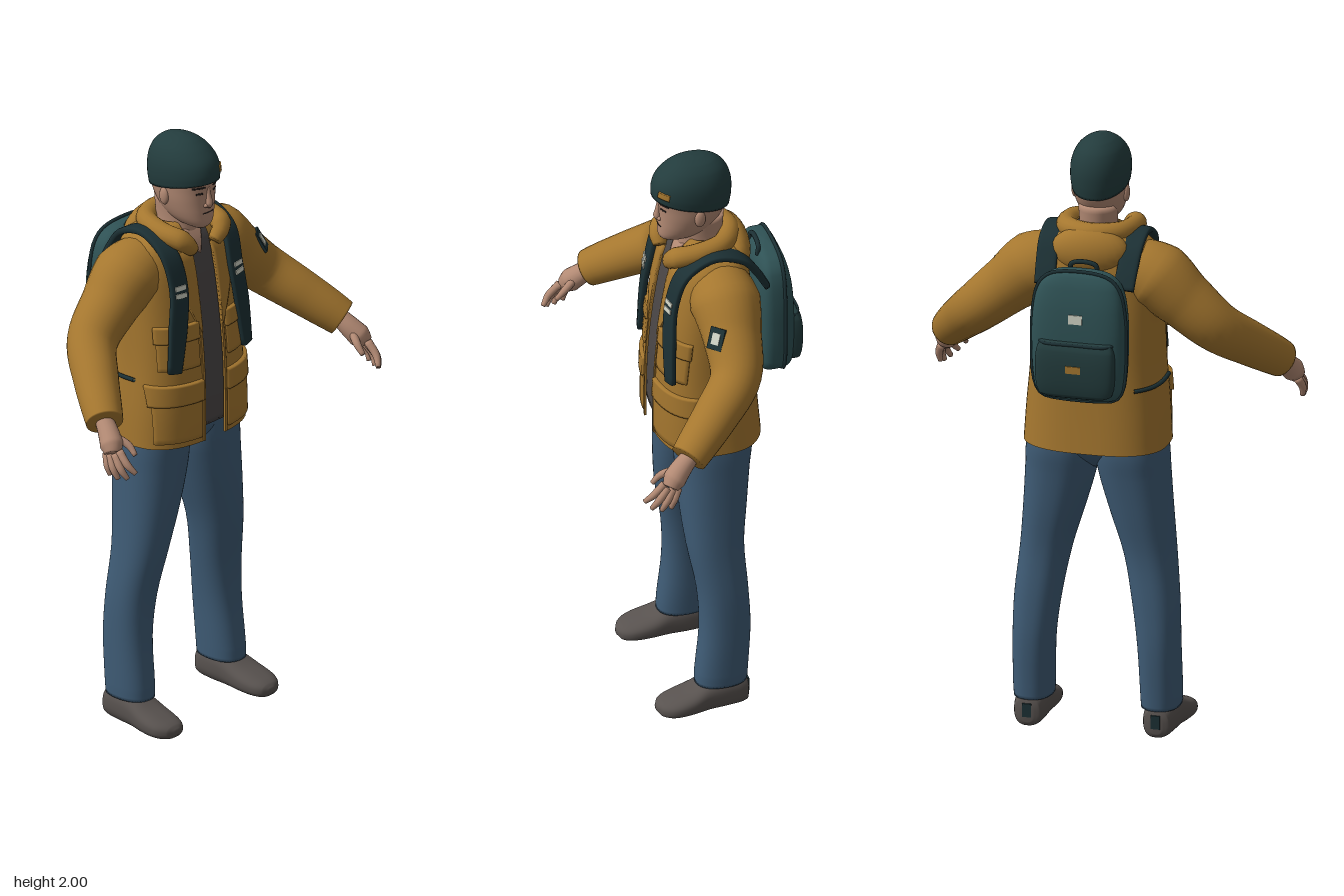
import * as THREE from 'three';
import { mergeVertices } from 'three/addons/utils/BufferGeometryUtils.js';

const V = (x, y, z) => new THREE.Vector3(x, y, z);
const paint = (name, color) => {
  const m = new THREE.MeshStandardMaterial({ color, side: THREE.DoubleSide });
  m.name = name;
  return m;
};

// Smooth surface from a rule fn(u, v); u x v points outward
function grid(us, vs, fn) {
  const pos = [], idx = [], n = us.length;
  for (const v of vs) for (const u of us) pos.push(...fn(u, v).toArray());
  for (let j = 0; j < vs.length - 1; j++) for (let i = 0; i < n - 1; i++) {
    const a = j * n + i;
    idx.push(a, a + 1, a + n, a + 1, a + n + 1, a + n);
  }
  let g = new THREE.BufferGeometry();
  g.setAttribute('position', new THREE.Float32BufferAttribute(pos, 3));
  g.setIndex(idx);
  g = mergeVertices(g, 1e-5);
  g.computeVertexNormals();
  return g;
}
const steps = (n, a = 0, b = 1) => Array.from({ length: n + 1 }, (_, i) => a + (b - a) * i / n);

// Body surface from rings [y, centreX, halfWidth, zFront, zBack], superellipse power n
function body(rings, n = 2.4, bend = null) {
  const ring = y => {
    let k = 0;
    while (k < rings.length - 2 && y > rings[k + 1][0]) k++;
    const a = rings[k], b = rings[k + 1], p = rings[k - 1] || a, q = rings[k + 2] || b;
    const h = b[0] - a[0], t = Math.min(1, Math.max(0, (y - a[0]) / h));
    return [1, 2, 3, 4].map(j => {
      const m0 = h * (b[j] - p[j]) / (b[0] - p[0]), m1 = h * (q[j] - a[j]) / (q[0] - a[0]);
      return (2 * t ** 3 - 3 * t * t + 1) * a[j] + (t ** 3 - 2 * t * t + t) * m0
        + (3 * t * t - 2 * t ** 3) * b[j] + (t ** 3 - t * t) * m1;
    });
  };
  const pow = s => Math.sign(s) * Math.abs(s) ** (2 / n);
  const at = (a, y, size = 1) => {
    const [cx, w, f, b] = ring(y);
    const p = V(cx + size * Math.max(w, 0.0004) * pow(Math.sin(a)), y, (f + b) / 2 + size * (f - b) / 2 * pow(Math.cos(a)));
    if (bend) bend(p, y);
    return p;
  };
  const angle = (x, y) => Math.sign(x) * Math.asin(Math.min(1, Math.abs(x) / ring(y)[1]) ** (n / 2));
  const rows = [];
  for (let i = 0; i < rings.length - 1; i++) rows.push(...steps(4, rings[i][0], rings[i + 1][0]).slice(i ? 1 : 0));
  const solid = () => grid(steps(48, 0, 2 * Math.PI), steps(rows.length + 1, -1, rows.length).map(Math.round),
    (a, r) => r < 0 ? at(a, rows[0], 0) : r >= rows.length ? at(a, rows[rows.length - 1], 0) : at(a, rows[r]));
  return { at, angle, rows, solid };
}

// Thin panel hugging a body surface; x limits may depend on height
function panel(s, x0, x1, y0, y1, off) {
  const f = x => typeof x === 'function' ? x : () => x;
  const seq = [-1, ...steps(10), 2];
  return grid(seq, seq, (u, v) => {
    const edge = u < 0 || u > 1 || v < 0 || v > 1;
    const uu = Math.min(1, Math.max(0, u)), vv = Math.min(1, Math.max(0, v));
    const y = y0 + (y1 - y0) * vv, a0 = s.angle(f(x0)(vv), y), a1 = s.angle(f(x1)(vv), y);
    const a = a0 + (a1 - a0) * uu, p = s.at(a, y);
    const t = s.at(a + 0.02, y).sub(s.at(a - 0.02, y));
    return p.addScaledVector(V(-t.z, 0, t.x).normalize(), edge ? -0.003 : off);
  });
}

// Rounded limb through points [x, y, z, radius]
function limb(pts, seg = 18, rows = 20) {
  const curve = new THREE.CatmullRomCurve3(pts.map(p => V(p[0], p[1], p[2])));
  const fr = curve.computeFrenetFrames(rows);
  return grid(steps(seg, 0, 2 * Math.PI), steps(rows + 2, -1, rows + 1).map(Math.round), (a, r) => {
    const i = Math.min(rows, Math.max(0, r)), t = i / rows, k = t * (pts.length - 1);
    const j = Math.min(pts.length - 2, Math.floor(k));
    const rad = r === i ? THREE.MathUtils.lerp(pts[j][3], pts[j + 1][3], k - j) : 0;
    return curve.getPoint(t).addScaledVector(fr.normals[i], rad * Math.cos(a)).addScaledVector(fr.binormals[i], rad * Math.sin(a));
  });
}
const tube = (pts, r, closed = false) => new THREE.TubeGeometry(new THREE.CatmullRomCurve3(pts, closed), 60, r, 8, closed);
const ball = (x, y, z, a, b, c) => new THREE.SphereGeometry(1, 24, 16).scale(a, b, c).translate(x, y, z);

// Flat plate facing along a normal
function plate(w, h, pos, normal, up, d = 0.008) {
  const z = normal.clone().normalize(), x = up.clone().cross(z).normalize();
  const m = new THREE.Matrix4().makeBasis(x, z.clone().cross(x), z).setPosition(pos);
  return new THREE.BoxGeometry(w, h, d).applyMatrix4(m);
}
function mirrored(g) {
  const m = g.clone().scale(-1, 1, 1), i = m.index.array;
  for (let k = 0; k < i.length; k += 3) [i[k], i[k + 1]] = [i[k + 1], i[k]];
  return m;
}

export function createModel() {
  const model = new THREE.Group();
  model.name = 'hiker';
  const ochre = paint('ochre', 0xa5772f), denim = paint('denim', 0x3f5c76), skin = paint('skin', 0xb38a74);
  const shoeGrey = paint('shoeGrey', 0x58524f), shirtGrey = paint('shirtGrey', 0x4b4747), knit = paint('darkGreenKnit', 0x233c3d);
  const teal = paint('teal', 0x2f5255), webbing = paint('darkWebbing', 0x1c3034), cream = paint('cream', 0xcdd0c2), dark = paint('darkBrown', 0x2b2321);
  const add = (name, g, mat) => {
    const m = new THREE.Mesh(g, mat);
    m.name = name;
    model.add(m);
  };
  const pair = (name, g, mat) => {
    add('left' + name, g, mat);
    add('right' + name, mirrored(g), mat);
  };

  // Jacket shell with an open front
  const torsoRings = [
    [0.98, 0, 0.235, 0.145, -0.2], [1.1, 0, 0.228, 0.145, -0.19], [1.25, 0, 0.216, 0.14, -0.18],
    [1.4, 0, 0.213, 0.125, -0.175], [1.5, 0, 0.213, 0.11, -0.17], [1.58, 0, 0.208, 0.095, -0.165],
    [1.64, 0, 0.19, 0.077, -0.155], [1.675, 0, 0.155, 0.058, -0.14], [1.7, 0, 0.1, 0.04, -0.12], [1.71, 0, 0.07, 0.03, -0.1]];
  const torso = body(torsoRings, 2.7);
  add('jacket', grid(steps(56), torso.rows, (u, y) => {
    const a = torso.angle(0.046, y);
    return torso.at(a + u * (2 * Math.PI - 2 * a), y);
  }), ochre);
  pair('FrontEdge', panel(torso, 0.044, 0.054, 0.982, 1.6, 0.004), ochre);
  pair('Lapel', panel(torso, 0.045, v => 0.05 + 0.075 * Math.min(1, 1.6 * v), 1.36, 1.63, 0.008), ochre);
  pair('LowerPocket', panel(torso, 0.06, 0.21, 1.0, 1.18, 0.007), ochre);
  pair('LowerPocketFlap', panel(torso, 0.057, 0.214, 1.13, 1.2, 0.013), ochre);
  pair('ChestPocket', panel(torso, 0.065, 0.193, 1.25, 1.38, 0.007), ochre);
  pair('ChestPocketFlap', panel(torso, 0.062, 0.196, 1.345, 1.4, 0.012), ochre);

  // Collar roll and hood lying on the back
  add('collar', limb([[0.05, 1.635, 0.095, 0.022], [0.088, 1.675, 0.09, 0.034], [0.108, 1.69, 0.02, 0.034],
    [0.085, 1.7, -0.075, 0.034], [0, 1.7, -0.115, 0.036], [-0.085, 1.7, -0.075, 0.034],
    [-0.108, 1.69, 0.02, 0.034], [-0.088, 1.675, 0.09, 0.034], [-0.05, 1.635, 0.095, 0.022]], 16, 56), ochre);
  add('hood', ball(0, 1.645, -0.122, 0.13, 0.08, 0.058), ochre);

  // Shirt inside the opening
  const shirt = body(torsoRings.slice(0, -1).map(([y, x, w, f, b]) => [y + (y < 1 ? 0.045 : 0), x, w * 0.93, f - 0.012, b + 0.015]), 2.7);
  add('shirt', shirt.solid(), shirtGrey);
  add('openNeckline', panel(shirt, v => -0.002 - 0.034 * v, v => 0.002 + 0.034 * v, 1.605, 1.685, 0.005), skin);

  // Sleeves and hands
  pair('Sleeve', limb([[0.12, 1.57, -0.045, 0.1], [0.2, 1.55, -0.047, 0.114], [0.29, 1.478, -0.043, 0.095],
    [0.39, 1.39, -0.024, 0.082], [0.47, 1.31, 0.07, 0.073], [0.53, 1.245, 0.155, 0.064], [0.548, 1.224, 0.182, 0.06]], 28, 36), ochre);
  pair('Palm', limb([[0.54, 1.235, 0.165, 0.028], [0.556, 1.2, 0.205, 0.034], [0.572, 1.17, 0.235, 0.038], [0.583, 1.148, 0.25, 0.027]]), skin);
  [[[0.575, 1.16, 0.27], [0.575, 1.122, 0.308], [0.56, 1.095, 0.33]], [[0.584, 1.15, 0.26], [0.592, 1.108, 0.295], [0.58, 1.078, 0.313]],
    [[0.588, 1.145, 0.244], [0.6, 1.105, 0.27], [0.593, 1.073, 0.284]], [[0.588, 1.145, 0.228], [0.601, 1.11, 0.245], [0.598, 1.08, 0.254]],
    [[0.55, 1.19, 0.225], [0.528, 1.165, 0.268], [0.526, 1.137, 0.296]]].forEach((p, i) =>
    pair(i < 4 ? 'Finger' + (i + 1) : 'Thumb', limb(p.map((q, k) => [...q, [0.014, 0.0125, 0.008][k]]), 10, 8), skin));

  // Sleeve badge on the left arm only
  const badgeN = V(0.55, 0.48, 0.68).normalize(), badgeUp = V(-0.25, 0.9, -0.2), badgeAt = V(0.286, 1.47, -0.042);
  add('sleeveBadge', plate(0.054, 0.072, badgeAt.clone().addScaledVector(badgeN, 0.098), badgeN, badgeUp, 0.009), webbing);
  add('sleeveBadgeCentre', plate(0.028, 0.038, badgeAt.clone().addScaledVector(badgeN, 0.103), badgeN, badgeUp, 0.004), cream);

  // Jeans
  pair('Leg', body([[0.095, 0.21, 0.063, 0.058, -0.113], [0.14, 0.21, 0.065, 0.056, -0.116], [0.3, 0.206, 0.068, 0.04, -0.125],
    [0.44, 0.195, 0.075, 0.045, -0.12], [0.6, 0.172, 0.083, 0.072, -0.113], [0.75, 0.143, 0.1, 0.087, -0.13],
    [0.88, 0.121, 0.114, 0.093, -0.145], [0.96, 0.114, 0.117, 0.095, -0.155], [1.05, 0.11, 0.11, 0.09, -0.15]], 2.3).solid(), denim);
  add('hips', body([[0.89, 0, 0.02, 0.0, -0.06], [0.92, 0, 0.055, 0.045, -0.105], [0.95, 0, 0.11, 0.074, -0.135],
    [0.99, 0, 0.19, 0.09, -0.153], [1.06, 0, 0.2, 0.09, -0.15]]).solid(), denim);

  // Shoes, lofted heel to toe
  pair('Shoe', body([[-0.116, 0.213, 0.02, -0.02, -0.075], [-0.107, 0.213, 0.042, -0.006, -0.1], [-0.05, 0.214, 0.053, 0, -0.116],
    [0.02, 0.217, 0.057, 0, -0.108], [0.08, 0.221, 0.064, 0, -0.082], [0.14, 0.223, 0.06, 0, -0.063],
    [0.176, 0.22, 0.04, -0.005, -0.05], [0.19, 0.218, 0.012, -0.018, -0.036]], 2.5).solid().rotateX(Math.PI / 2), shoeGrey);
  pair('HeelTab', plate(0.03, 0.045, V(0.213, 0.06, -0.115), V(0, 0, -1), V(0, 1, 0)), webbing);

  // Head and face
  const head = body([[1.7, 0, 0.022, 0.1, 0.04], [1.715, 0, 0.046, 0.115, -0.015], [1.745, 0, 0.067, 0.117, -0.06],
    [1.79, 0, 0.081, 0.116, -0.092], [1.83, 0, 0.086, 0.117, -0.107], [1.88, 0, 0.086, 0.12, -0.11], [1.94, 0, 0.066, 0.09, -0.09]], 2.2);
  add('head', head.solid(), skin);
  add('neck', body([[1.62, 0, 0.07, 0.055, -0.09], [1.7, 0, 0.06, 0.05, -0.094], [1.78, 0, 0.064, 0.05, -0.1]], 2.1).solid(), skin);
  add('nose', limb([[0, 1.85, 0.112, 0.007], [0, 1.815, 0.117, 0.009], [0, 1.79, 0.12, 0.013], [0, 1.78, 0.116, 0.01]], 14, 10), skin);
  pair('Nostril', ball(0.012, 1.785, 0.115, 0.008, 0.007, 0.009), skin);
  pair('Ear', ball(0.085, 1.808, 0.002, 0.011, 0.03, 0.018), skin);
  pair('Eyebrow', panel(head, 0.018, 0.056, 1.848, 1.854, 0.002), dark);
  pair('Eye', panel(head, 0.024, 0.045, 1.827, 1.833, 0.0015), dark);
  add('mouth', panel(head, -0.022, 0.022, 1.757, 1.76, 0.0015), dark);

  // Knitted cap, lower at the back
  const cap = body([[1.838, 0, 0.091, 0.138, -0.117], [1.875, 0, 0.095, 0.138, -0.123], [1.92, 0, 0.091, 0.126, -0.122],
    [1.96, 0, 0.074, 0.097, -0.105], [1.985, 0, 0.048, 0.064, -0.074], [1.996, 0, 0.022, 0.036, -0.04], [2, 0, 0.001, 0.005, -0.005]],
  2.1, (p, y) => { p.y += 0.22 * p.z * (2 - y) / 0.162; });
  add('cap', cap.solid(), knit);
  add('capTag', panel(cap, 0.04, 0.07, 1.868, 1.893, 0.004), ochre);

  // Backpack
  const outline = [[1.19, 0.09], [1.2, 0.125], [1.24, 0.147], [1.4, 0.156], [1.5, 0.151], [1.57, 0.135], [1.605, 0.105], [1.62, 0.06]];
  const depth = [[-0.2, -0.27], [-0.185, -0.295], [-0.178, -0.308], [-0.178, -0.31], [-0.18, -0.304], [-0.188, -0.291], [-0.2, -0.277], [-0.215, -0.262]];
  add('backpack', body([...outline.map(([y, w], i) => [y, 0, w, ...depth[i]]), [1.623, 0, 0.01, -0.235, -0.245]], 3.4).solid(), teal);
  const pocket = body([[1.212, 0, 0.095, -0.28, -0.318], [1.227, 0, 0.12, -0.28, -0.331], [1.3, 0, 0.13, -0.28, -0.338],
    [1.37, 0, 0.127, -0.28, -0.333], [1.4, 0, 0.115, -0.28, -0.318]], 4);
  add('backpackPocket', pocket.solid(), knit);
  const seam = outline.map(([y, w]) => V(w, y, -0.262));
  add('backpackPiping', tube([...seam, ...seam.map(p => V(-p.x, p.y, p.z)).reverse()], 0.006, true), webbing);
  add('pocketZip', tube([-0.124, -0.1, 0, 0.1, 0.124].map((x, i) => V(x, 1.393, [-0.292, -0.318, -0.322, -0.318, -0.292][i])), 0.005), webbing);
  add('pocketTag', plate(0.05, 0.024, V(0, 1.315, -0.337), V(0, 0, -1), V(0, 1, 0)), ochre);
  add('reflectivePatch', plate(0.045, 0.03, V(0, 1.475, -0.306), V(0, 0.06, -1), V(0, 1, 0)), cream);
  add('carryHandle', tube([V(-0.045, 1.6, -0.2), V(-0.04, 1.628, -0.205), V(0, 1.638, -0.207), V(0.04, 1.628, -0.205), V(0.045, 1.6, -0.2)], 0.008), webbing);

  // Shoulder straps, narrowing to the lower end
  const path = new THREE.CatmullRomCurve3([V(0.166, 1.25, 0.126), V(0.147, 1.4, 0.123), V(0.131, 1.53, 0.11),
    V(0.138, 1.645, 0.07), V(0.138, 1.695, -0.02), V(0.138, 1.67, -0.115), V(0.134, 1.61, -0.165), V(0.13, 1.55, -0.2)]);
  const frame = t => {
    const T = path.getTangent(t), X = V(1, 0, -0.25 * (1 - t));
    X.addScaledVector(T, -X.dot(T)).normalize();
    return { p: path.getPoint(t), X, T, N: X.clone().cross(T) };
  };
  const round = s => Math.sign(s) * Math.sqrt(Math.abs(s));
  pair('Strap', grid(steps(20, 0, 2 * Math.PI), [-1, ...steps(40), 2], (a, t) => {
    const k = t < 0 || t > 1 ? 0 : 1, { p, X, N } = frame(Math.min(1, Math.max(0, t)));
    const half = 0.025 + 0.009 * Math.min(1, Math.max(0, t) * 7);
    return p.addScaledVector(X, k * half * round(Math.sin(a))).addScaledVector(N, k * 0.011 * round(Math.cos(a)));
  }), webbing);
  [0.262, 0.29].forEach((t, i) => {
    const { p, N, T } = frame(t);
    pair('StrapLabel' + (i + 1), plate(0.042, 0.015, p.addScaledVector(N, 0.012), N, T, 0.005), cream);
  });
  // Loose strap end on the right side
  add('sideStrap', tube(steps(10, 1.5, 2.5).map(a => mirrorX(torso.at(a, 1.225 - 0.012 * a, 1.03))), 0.007), webbing);
  return model;
}
const mirrorX = p => V(-p.x, p.y, p.z);
